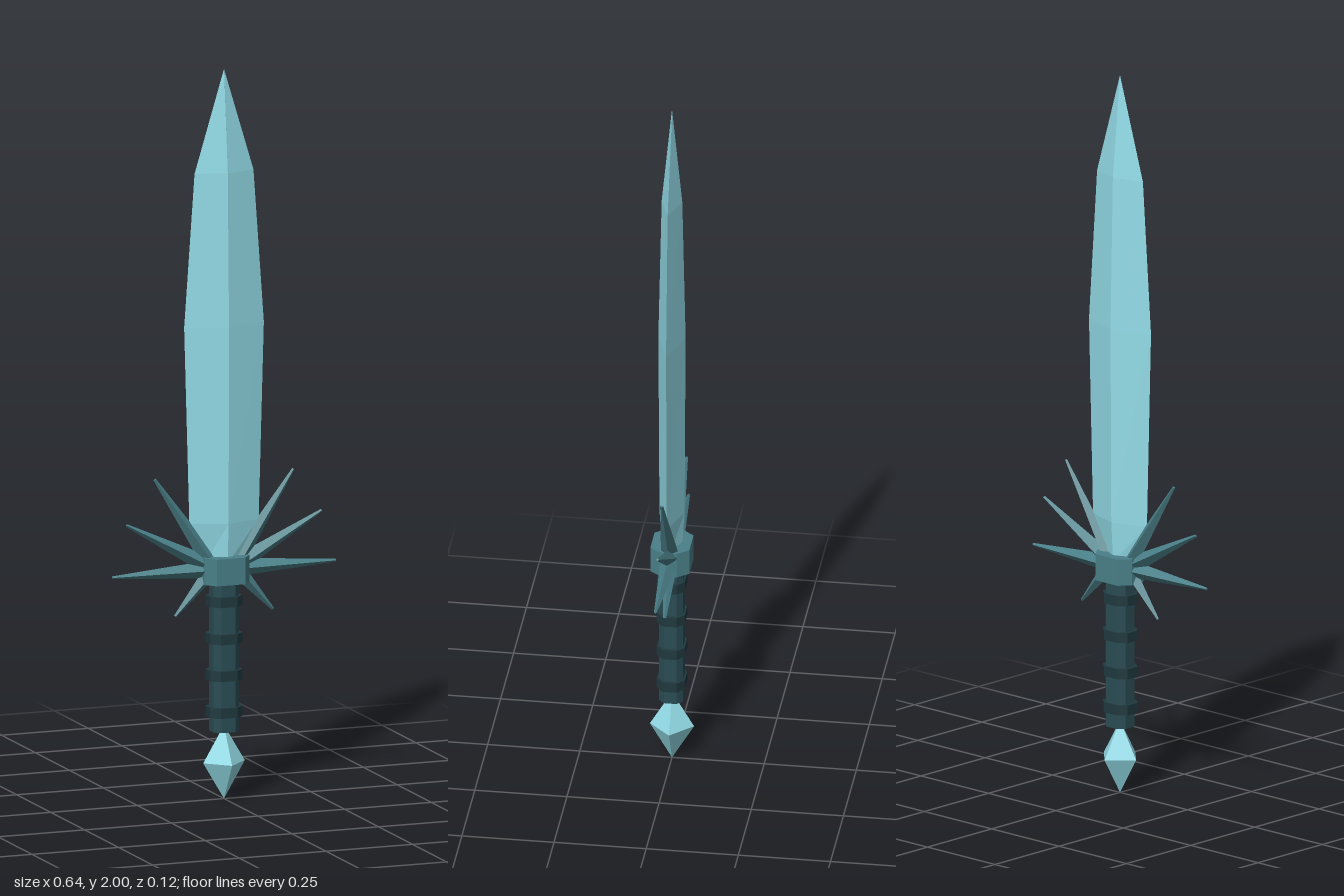
import * as THREE from 'three';

const paint = (color) => new THREE.MeshStandardMaterial({ color, flatShading: true, side: THREE.DoubleSide });
const crystal = paint(0x93dce8);
const steel = paint(0x4a8089);
const leather = paint(0x2a4c54);
const band = paint(0x20393f);

function add(group, name, geometry, material) {
  const mesh = new THREE.Mesh(geometry, material);
  mesh.name = name;
  group.add(mesh);
  return mesh;
}

// Diamond cross-sections [y, half width, half depth] joined into a closed blade
function bladeGeometry(sections) {
  const pos = [], index = [];
  for (const [y, w, d] of sections) pos.push(w, y, 0, 0, y, d, -w, y, 0, 0, y, -d);
  for (let s = 0; s < sections.length - 1; s++) {
    for (let i = 0; i < 4; i++) {
      const a = s * 4 + i, b = s * 4 + (i + 1) % 4;
      index.push(a, a + 4, b, b, a + 4, b + 4);
    }
  }
  index.push(0, 1, 2, 0, 2, 3);
  const g = new THREE.BufferGeometry();
  g.setAttribute('position', new THREE.Float32BufferAttribute(pos, 3));
  g.setIndex(index);
  const flat = g.toNonIndexed();
  flat.computeVertexNormals();
  return flat;
}

// Upright prism with an octagonal plan: flat half width, full half width, and depths
function octPrism(x1, x2, z1, z2, y0, y1) {
  const pts = [[x1, z2], [x2, z1], [x2, -z1], [x1, -z2], [-x1, -z2], [-x2, -z1], [-x2, z1], [-x1, z2]];
  const shape = new THREE.Shape(pts.map(([x, z]) => new THREE.Vector2(x, z)));
  return new THREE.ExtrudeGeometry(shape, { depth: y1 - y0, bevelEnabled: false })
    .rotateX(-Math.PI / 2).translate(0, y0, 0);
}

// Four-sided tapered spike between two points in the x-y plane
function spikeGeometry(from, to, radius) {
  const a = new THREE.Vector3(...from, 0), b = new THREE.Vector3(...to, 0);
  const dir = b.clone().sub(a);
  const g = new THREE.CylinderGeometry(0.004, radius, dir.length(), 4);
  g.applyQuaternion(new THREE.Quaternion().setFromUnitVectors(new THREE.Vector3(0, 1, 0), dir.normalize()));
  return g.translate((a.x + b.x) / 2, (a.y + b.y) / 2, 0);
}

export function createModel() {
  const model = new THREE.Group();
  model.name = 'sword';

  add(model, 'blade', bladeGeometry([
    [0.65, 0.055, 0.027], [0.76, 0.1, 0.034], [1.3, 0.115, 0.037], [1.72, 0.085, 0.028], [2, 0.0005, 0.0005],
  ]), crystal);

  add(model, 'guardBlock', octPrism(0.041, 0.065, 0.022, 0.053, 0.595, 0.668), steel);

  // Spikes fanning out on both sides of the guard
  const spikes = [
    [[0.04, 0.632], [0.322, 0.63], 0.025],
    [[0.04, 0.64], [0.281, 0.77], 0.025],
    [[0.035, 0.645], [0.2, 0.89], 0.025],
    [[0.035, 0.63], [0.141, 0.51], 0.022],
  ];
  for (const side of [1, -1]) {
    spikes.forEach(([from, to, r], i) => add(model, (side > 0 ? 'left' : 'right') + 'Spike' + (i + 1),
      spikeGeometry([side * from[0], from[1]], [side * to[0], to[1]], r), steel));
  }

  // Grip with raised bands
  add(model, 'grip', octPrism(0.02, 0.037, 0.017, 0.033, 0.187, 0.6), leather);
  [0.241, 0.342, 0.443, 0.545].forEach((y, i) =>
    add(model, 'gripBand' + (i + 1), octPrism(0.024, 0.046, 0.019, 0.038, y - 0.014, y + 0.014), band));

  // Faceted pommel gem
  const gem = add(model, 'pommel', new THREE.OctahedronGeometry(1), crystal);
  gem.scale.set(0.06, 0.101, 0.06);
  gem.position.y = 0.101;

  return model;
}
